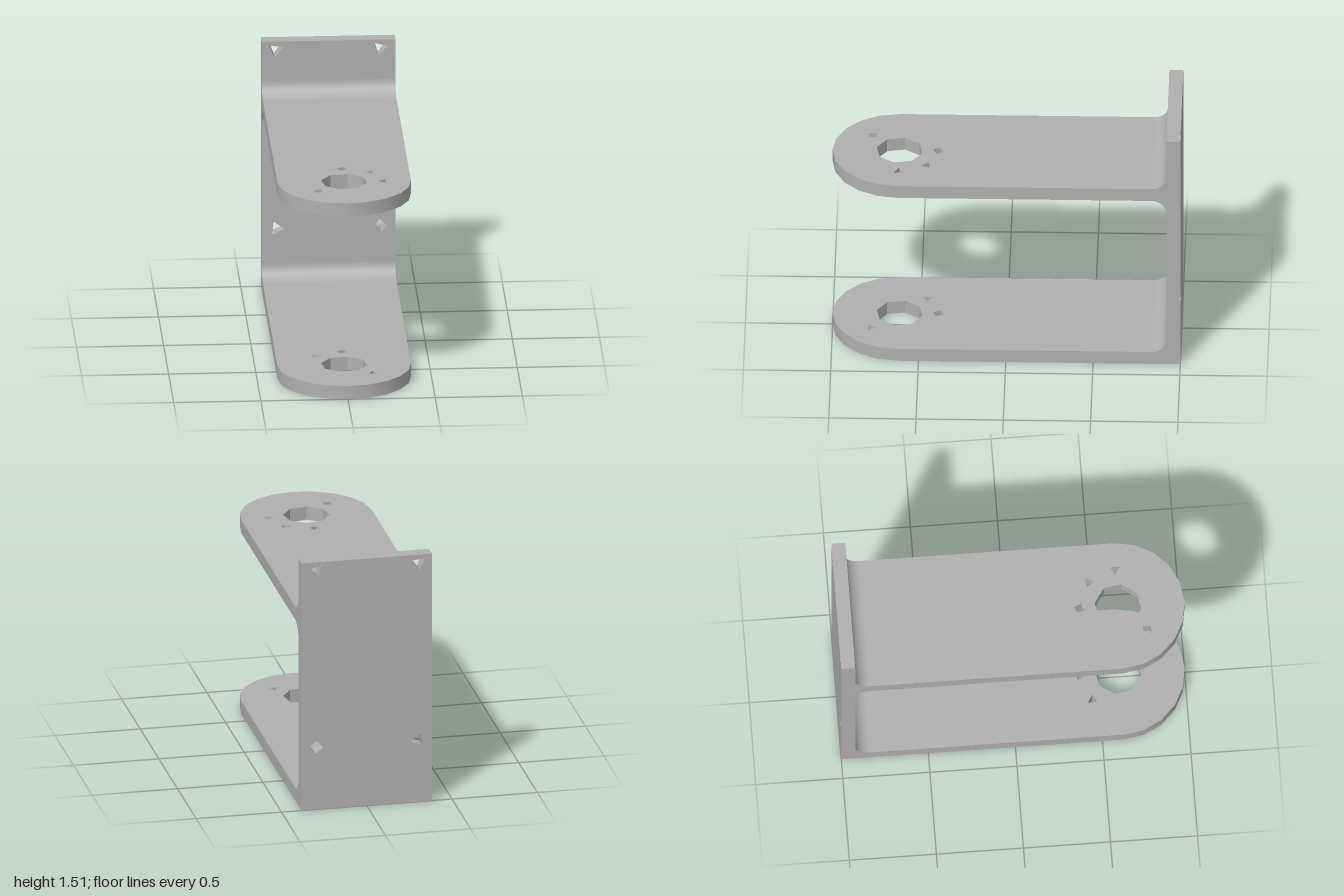
import * as THREE from 'three';
import { toCreasedNormals } from 'three/addons/utils/BufferGeometryUtils.js';

const HALF = 0.383;      // half width of the bracket
const THICK = 0.08;      // sheet thickness
const HEIGHT = 1.51;
const FACE = -0.92;      // front face of the back plate
const PIVOT = 0.617;     // z of the arm's round end and main hole
const FILLET = 0.085;

const steel = new THREE.MeshStandardMaterial({ color: 0xb0b0b0 });
steel.name = 'grey metal';

const V = (x, y) => new THREE.Vector2(x, y);

// Low-poly hole: n corners around (x, y), first corner at the given angle in degrees
function hole(x, y, radius, n, degrees) {
  const pts = [];
  for (let i = 0; i < n; i++) {
    const a = THREE.MathUtils.degToRad(degrees) + (i / n) * Math.PI * 2;
    pts.push(V(x + radius * Math.cos(a), y + radius * Math.sin(a)));
  }
  return new THREE.Path(pts);
}

function plate(points, holes, depth) {
  const shape = new THREE.Shape(points);
  shape.holes = holes;
  return new THREE.ExtrudeGeometry(shape, { depth, bevelEnabled: false });
}

function part(name, geometry) {
  const mesh = new THREE.Mesh(toCreasedNormals(geometry, 0.6), steel);
  mesh.name = name;
  return mesh;
}

// Upright plate with four screw holes
function backPlate() {
  const outline = [V(-HALF, 0), V(HALF, 0), V(HALF, HEIGHT), V(-HALF, HEIGHT)];
  const holes = [
    hole(-0.305, 1.458, 0.046, 3, 22),
    hole(0.295, 1.458, 0.046, 3, 15),
    hole(-0.298, 0.377, 0.045, 3, -8),
    hole(0.296, 0.38, 0.041, 4, 8),
  ];
  const g = plate(outline, holes, FACE + 1);
  g.translate(0, 0, -1);
  return part('backPlate', g);
}

// Flat arm with a round end, a main hole and small holes around it
function arm(name, top, smallHoles) {
  const outline = [V(-HALF, FACE), V(HALF, FACE)];
  for (let i = 0; i <= 10; i++) {
    const a = (i / 10) * Math.PI;
    outline.push(V(HALF * Math.cos(a), PIVOT + HALF * Math.sin(a)));
  }
  const holes = [hole(0, PIVOT, 0.134, 8, 12)];
  for (const [around, sides, turn] of smallHoles) {
    const a = THREE.MathUtils.degToRad(around);
    holes.push(hole(0.222 * Math.cos(a), PIVOT + 0.222 * Math.sin(a), 0.032, sides, turn));
  }
  const g = plate(outline, holes, THICK);
  g.rotateX(Math.PI / 2);
  g.translate(0, top, 0);
  return part(name, g);
}

// Concave rounding between an arm and the plate; side is 1 above an arm, -1 below
function fillet(name, y, side) {
  const pts = [V(0, 0)];
  for (let i = 0; i <= 10; i++) {
    const a = (i / 10) * Math.PI / 2;
    pts.push(V(FILLET * (1 - Math.sin(a)), side * FILLET * (1 - Math.cos(a))));
  }
  const g = plate(pts, [], HALF * 2);
  g.rotateY(-Math.PI / 2);
  g.translate(HALF, y, FACE);
  return part(name, g);
}

export function createModel() {
  const model = new THREE.Group();
  model.name = 'bracket';
  const upperTop = 1.187;
  model.add(
    backPlate(),
    arm('upperArm', upperTop, [[-90, 4, 20], [-45, 3, -40], [0, 3, -60], [135, 4, 40]]),
    arm('lowerArm', THICK, [[-90, 4, 20], [-135, 3, 0], [45, 3, 30]]),
    fillet('upperArmTopFillet', upperTop, 1),
    fillet('upperArmBottomFillet', upperTop - THICK, -1),
    fillet('lowerArmFillet', THICK, 1),
  );
  return model;
}
